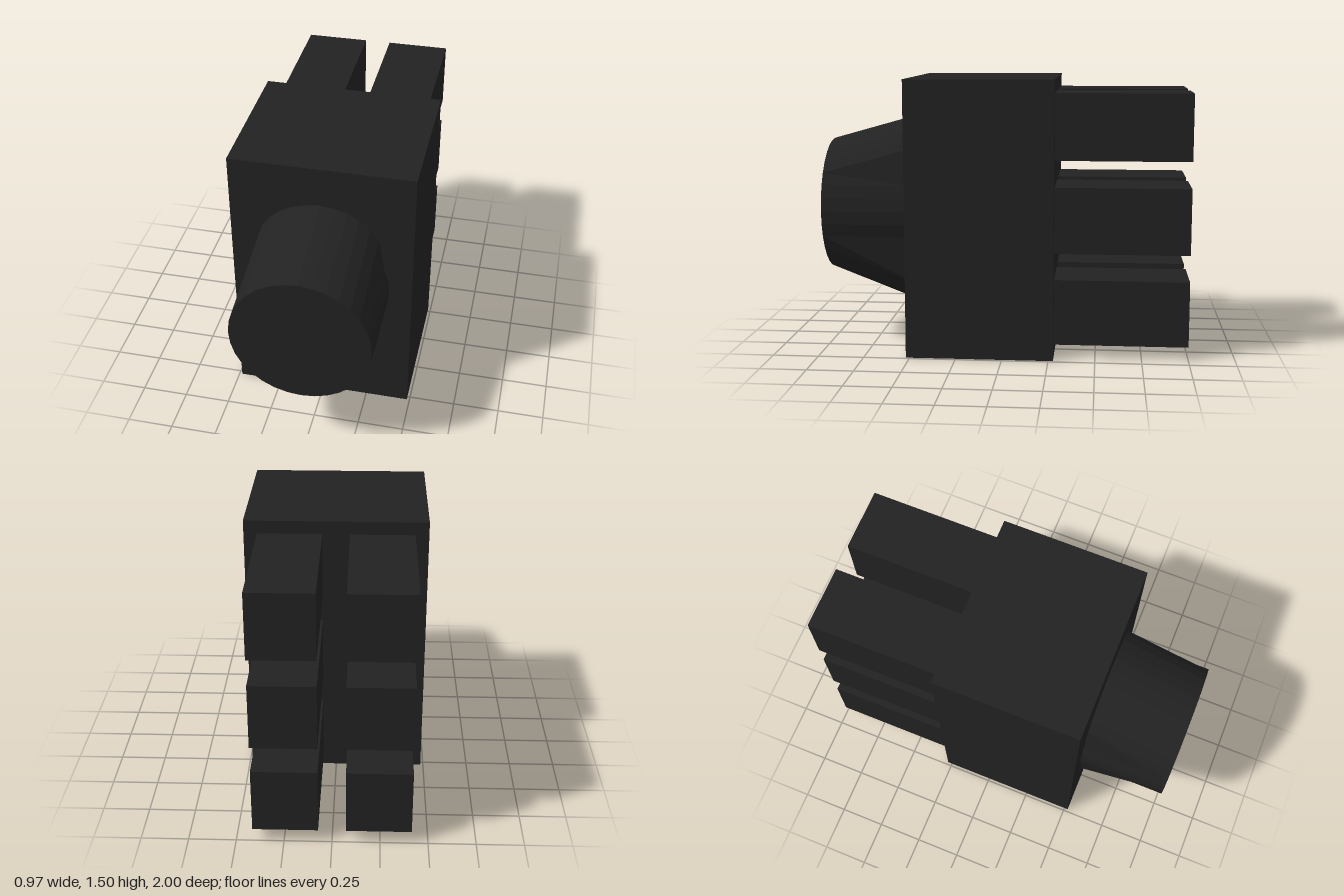
import * as THREE from 'three';

const material = new THREE.MeshStandardMaterial({ color: 0x222222, flatShading: true });

function addMesh(parent, name, geometry, x, y, z) {
  const mesh = new THREE.Mesh(geometry, material);
  mesh.name = name;
  mesh.position.set(x, y, z);
  parent.add(mesh);
}

// Round drum facing +z whose rear rim is stretched up and down
function stretchedDrum(radius, depth, up, down) {
  const geometry = new THREE.CylinderGeometry(radius, radius, depth, 32).rotateX(Math.PI / 2);
  const p = geometry.attributes.position;
  for (let i = 0; i < p.count; i++) {
    const y = p.getY(i);
    if (p.getZ(i) < 0 && Math.abs(y) > radius * 0.5) p.setY(i, y + (y > 0 ? up : -down));
  }
  geometry.computeVertexNormals();
  return geometry;
}

export function createModel() {
  const model = new THREE.Group();
  model.name = 'connector';

  // Main block
  addMesh(model, 'body', new THREE.BoxGeometry(0.97, 1.5, 0.797), 0, 0.75, 0.1225);

  // Protruding front boss
  addMesh(model, 'frontBoss', stretchedDrum(0.37, 0.479, 0.135, 0.185), -0.006, 0.776, 0.7605);

  // Two columns of three prongs at the back
  const prongs = new THREE.Group();
  prongs.name = 'rearProngs';
  model.add(prongs);
  const prong = new THREE.BoxGeometry(0.342, 0.357, 0.724);
  for (const side of [1, -1]) {
    for (let row = 0; row < 3; row++) {
      addMesh(prongs, side > 0 ? 'leftProng' : 'rightProng', prong, side * 0.243, 0.25 + row * 0.5, -0.638);
    }
  }
  return model;
}
